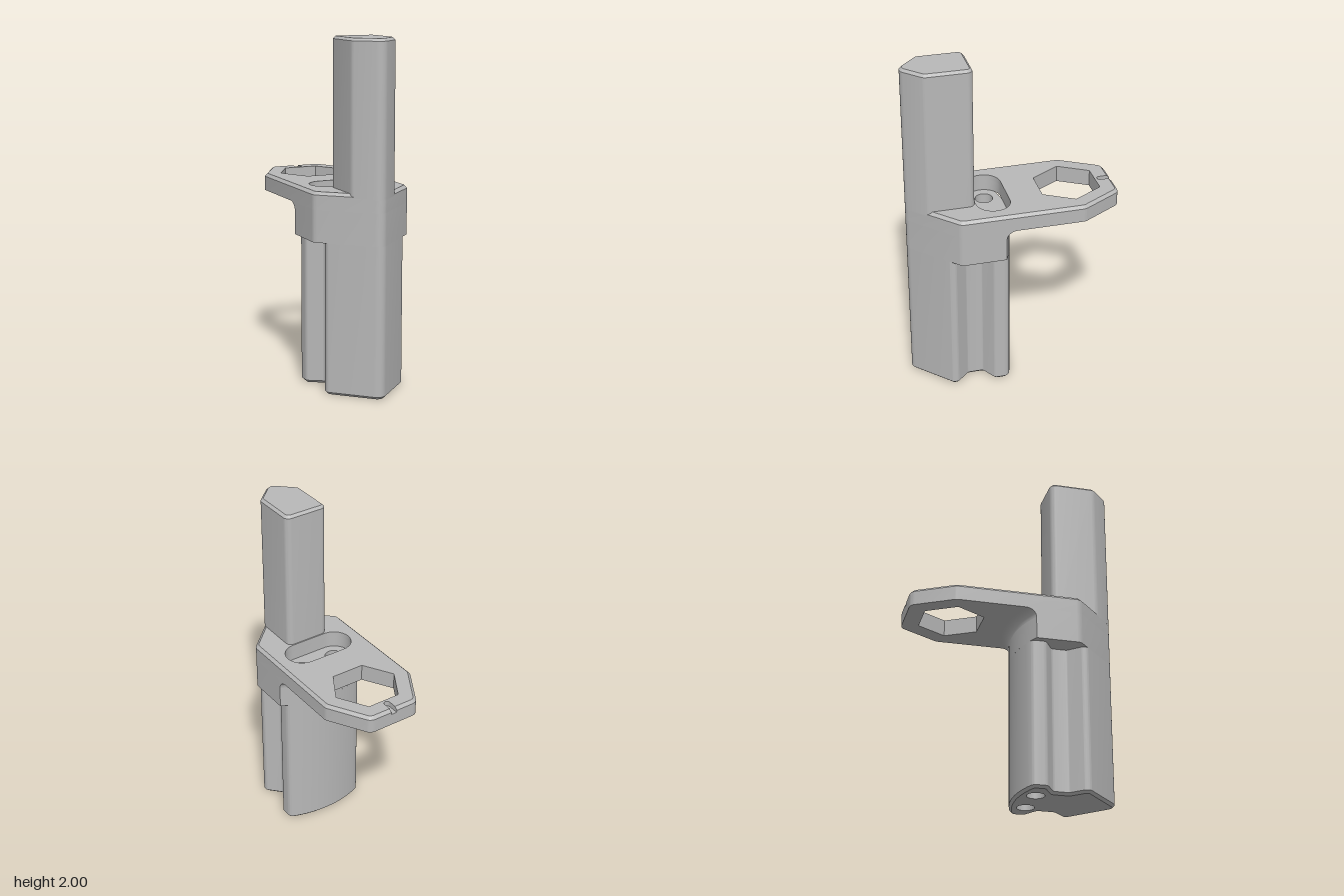
import * as THREE from 'three';
import { toCreasedNormals } from 'three/addons/utils/BufferGeometryUtils.js';

const V2 = THREE.Vector2;
const SIDE = 0.293;                 // half width of the plate
const ARC_R = 0.65, ARC_Z = 0.67;   // curved rear wall: radius and centre z
const FLOOR = 1.055, TOP = 1.155;   // underside and top of the plate
const arcZ = (x, r = ARC_R) => ARC_Z - Math.sqrt(r * r - x * x);

// Outlines are [x, z, cornerRadius]; mirrored() adds the -x half.
const mirrored = (half) => [
  ...half,
  ...half.filter((p) => p[0] > 0).reverse().map(([x, z, r]) => [-x, z, r]),
].map(([x, z, r]) => ({ p: new V2(x, -z), r: r || 0 }));

// Loop starting at the front tip, going along +x, with rounded corners
function rounded(half) {
  const c = mirrored(half), n = c.length, out = [];
  c.forEach(({ p, r }, i) => {
    if (!r) return out.push(p.clone());
    const a = c[(i + n - 1) % n].p.clone().sub(p).normalize();
    const b = c[(i + 1) % n].p.clone().sub(p).normalize();
    const halfAngle = Math.acos(a.dot(b)) / 2;
    const t = r / Math.tan(halfAngle);
    const centre = p.clone().add(a.clone().add(b).normalize().multiplyScalar(r / Math.sin(halfAngle)));
    const s = p.clone().addScaledVector(a, t).sub(centre);
    const e = p.clone().addScaledVector(b, t).sub(centre);
    const sweep = Math.atan2(s.cross(e), s.dot(e));
    for (let k = 0; k <= 6; k++) {
      out.push(s.clone().rotateAround(new V2(), sweep * k / 6).add(centre));
    }
  });
  return out;
}

// Moves a counter-clockwise loop inwards by d
function inset(loop, d) {
  const n = loop.length;
  return loop.map((p, i) => {
    const a = p.clone().sub(loop[(i + n - 1) % n]).normalize();
    const b = loop[(i + 1) % n].clone().sub(p).normalize();
    const m = new V2(-a.y - b.y, a.x + b.x);
    return p.clone().addScaledVector(m, 2 * d / m.lengthSq());
  });
}

// Upright solid: ring(d) gives the outline inset by d, levels are [y, d]
function prism(ring, levels, holes = []) {
  const pos = [];
  const tri = (...pts) => pts.forEach(([p, y]) => pos.push(p.x, y, -p.y));
  const wall = (lo, y0, hi, y1) => lo.forEach((a, i) => {
    const j = (i + 1) % lo.length;
    tri([a, y0], [lo[j], y0], [hi[j], y1]);
    tri([a, y0], [hi[j], y1], [hi[i], y1]);
  });
  const rings = levels.map(([, d]) => ring(d));
  const last = levels.length - 1;
  for (let k = 0; k < last; k++) wall(rings[k], levels[k][0], rings[k + 1], levels[k + 1][0]);
  holes.forEach((h) => wall(h, levels[0][0], h, levels[last][0]));
  for (const k of [0, last]) {
    const pts = [...rings[k], ...holes.flat()], y = levels[k][0];
    for (const [a, b, c] of THREE.ShapeUtils.triangulateShape(rings[k], holes)) {
      if (k) tri([pts[a], y], [pts[b], y], [pts[c], y]);
      else tri([pts[a], y], [pts[c], y], [pts[b], y]);
    }
  }
  const g = new THREE.BufferGeometry();
  g.setAttribute('position', new THREE.Float32BufferAttribute(pos, 3));
  return toCreasedNormals(g, 0.45);
}

// Clockwise hole loops
const circle = (x, z, r, n) => Array.from({ length: n }, (_, i) => {
  const t = -i / n * Math.PI * 2;
  return new V2(x + r * Math.cos(t), -z + r * Math.sin(t));
});
function slot(z, halfLength, r) {
  const pts = [];
  for (const s of [1, -1]) {
    for (let i = 0; i <= 16; i++) {
      const t = s * Math.PI / 2 - i / 16 * Math.PI;
      pts.push(new V2(s * halfLength + r * Math.cos(t), -z + r * Math.sin(t)));
    }
  }
  return pts;
}

export function createModel() {
  const group = new THREE.Group();
  const grey = new THREE.MeshStandardMaterial({ color: 0xb8b8b8 });
  grey.name = 'grey';
  const add = (name, geometry) => {
    const mesh = new THREE.Mesh(geometry, grey);
    mesh.name = name;
    group.add(mesh);
  };

  const tip = [0, 0.633, 0.05];
  const shoulder = [SIDE, 0.35, 0.05];
  const rear = (xs) => xs.map((x) => [x, arcZ(x), 0]);
  const pinHoles = [-0.11, 0.11].map((x) => circle(x, 0.125, 0.052, 32));

  // Lower body with side grooves and a curved rear wall
  const body = rounded([
    tip, [0.235, 0.406, 0.02], [0.235, 0.375, 0.02], [0.165, 0.3, 0.02], [0.165, 0.21, 0.02],
    [0.255, 0.155, 0.03], [0.255, arcZ(0.255), 0.035], ...rear([0.2, 0.15, 0.1, 0.05, 0]),
  ]);
  add('lowerBody', prism((d) => inset(body, d), [[0, 0.015], [0.015, 0], [0.87, 0]], pinHoles));

  // Wider collar block under the plate
  const collar = rounded([tip, shoulder, ...rear([SIDE, 0.24, 0.18, 0.12, 0.06, 0])]);
  add('collar', prism((d) => inset(collar, d), [[0.87, 0], [FLOOR, 0]], pinHoles));

  // Plate with hexagonal opening and oblong recess
  const plate = rounded([tip, shoulder, [SIDE, -0.375, 0.05], [0.155, -0.615, 0.05]]);
  const openings = [circle(0, -0.345, 0.2, 6), slot(0.125, 0.112, 0.1)];
  const step = 1.125;
  add('plate', prism((d) => inset(plate, d), [[FLOOR, 0], [step, 0]], openings));

  // Upper layer of the plate: chamfered, with a marker groove in the rear edge
  const mid = plate.length / 2 + 3.5;   // first corner point after the rear edge centre
  const backStart = plate.findIndex((p, i) => p.x > 0 && plate[(i + 1) % plate.length].x < 0 && p.y > 0);
  const cut = backStart >= 0 ? backStart + 1 : Math.floor(mid);
  const notched = (d) => {
    const loop = inset(plate, d), w = 0.018, edge = 0.615 - d;
    const notch = [new V2(w, edge)];
    for (let i = 0; i <= 8; i++) {
      const t = -i / 8 * Math.PI;
      notch.push(new V2(w * Math.cos(t), 0.55 + w * Math.sin(t)));
    }
    notch.push(new V2(-w, edge));
    return [...loop.slice(0, cut), ...notch, ...loop.slice(cut)];
  };
  add('plateTop', prism(notched, [[step, 0], [TOP - 0.017, 0], [TOP, 0.017]], openings));

  // Tall post above the plate
  const post = rounded([tip, [0.133, 0.505, 0.04], [0.133, 0.232, 0.035]]);
  add('post', prism((d) => inset(post, d), [[1.13, 0], [1.985, 0], [2, 0.015]]));

  // Concave fillet between the rear wall and the plate underside
  const f = 0.055;
  const filletPoint = (x, t) => [arcZ(x, ARC_R + f - f * Math.cos(t)), FLOOR - f + f * Math.sin(t)];
  const fillet = new THREE.PlaneGeometry(2, 1, 24, 8);
  const p = fillet.attributes.position;
  for (let i = 0; i < p.count; i++) {
    const x = -p.getX(i) * SIDE;
    const [z, y] = filletPoint(x, (p.getY(i) + 0.5) * Math.PI / 2);
    p.setXYZ(i, x, y, z);
  }
  fillet.computeVertexNormals();
  add('fillet', fillet);
  for (const s of [1, -1]) {
    const pts = [new V2(-s * arcZ(SIDE), FLOOR)];
    for (let i = 0; i <= 8; i++) {
      const [z, y] = filletPoint(SIDE, i / 8 * Math.PI / 2);
      pts.push(new V2(-s * z, y));
    }
    const cap = new THREE.ShapeGeometry(new THREE.Shape(pts));
    cap.rotateY(s * Math.PI / 2).translate(s * SIDE, 0, 0);
    add(s > 0 ? 'leftFilletCap' : 'rightFilletCap', cap);
  }
  return group;
}
